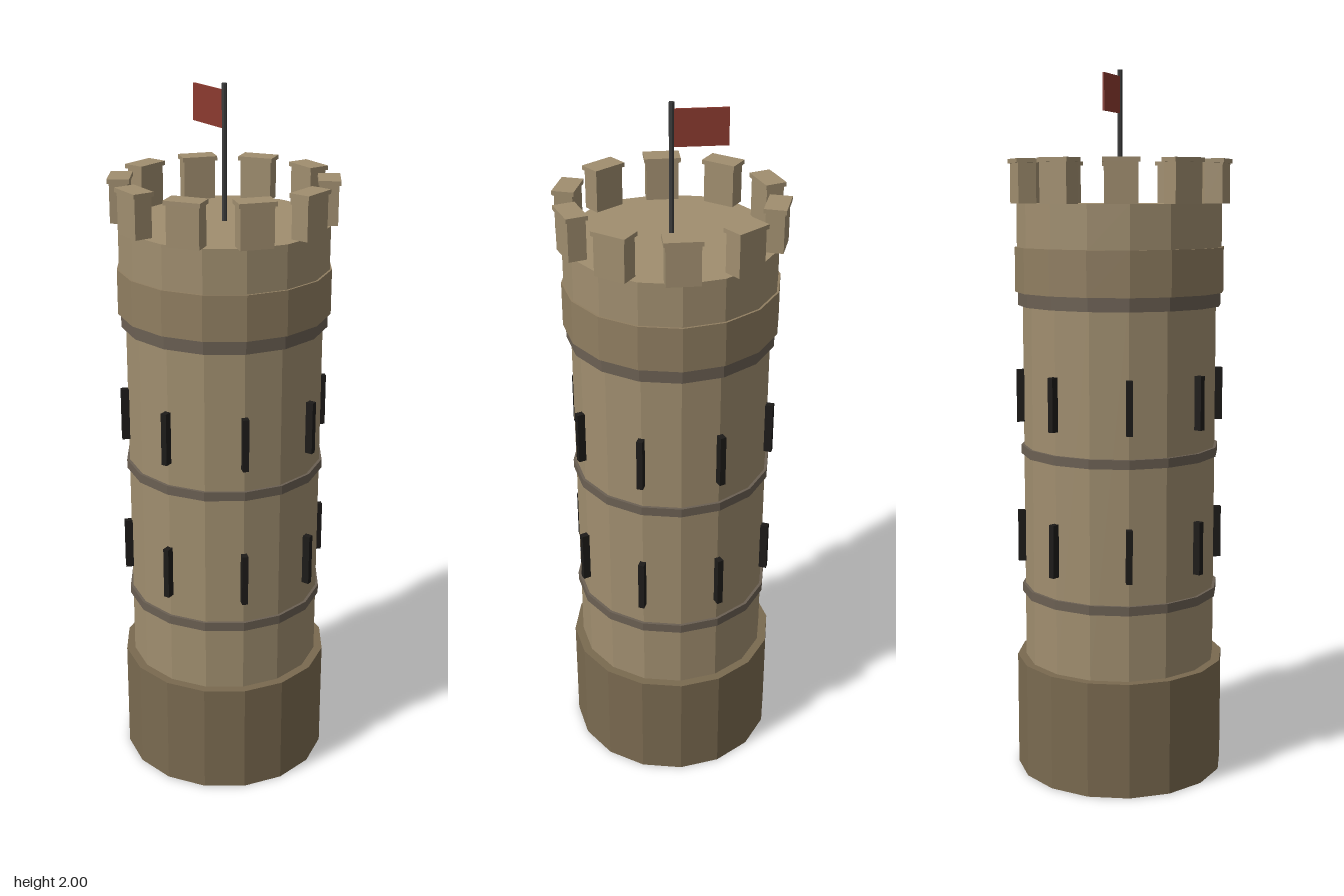
import * as THREE from 'three';

const SIDES = 16;
const material = (color) => new THREE.MeshStandardMaterial({ color, flatShading: true });

export function createModel() {
  const tower = new THREE.Group();
  tower.name = 'tower';

  const stone = material(0xa08e6f);
  const corbelStone = material(0x907e61);
  const baseStone = material(0x7a6a50);
  const bandStone = material(0x6b6053);
  const dark = material(0x1d1b19);
  const iron = material(0x3a3a3a);
  const cloth = material(0x8b3a2f);

  const add = (parent, name, geometry, mat, x = 0, y = 0, z = 0) => {
    const mesh = new THREE.Mesh(geometry, mat);
    mesh.name = name;
    mesh.position.set(x, y, z);
    parent.add(mesh);
    return mesh;
  };

  // Upright faceted drum between two heights
  const drum = (name, radius, y0, y1, mat, sides = SIDES) =>
    add(tower, name, new THREE.CylinderGeometry(radius, radius, y1 - y0, sides), mat, 0, (y0 + y1) / 2);

  // Ring of groups whose local +x points outwards
  const ring = (name, count, startAngle, build) => {
    const group = new THREE.Group();
    group.name = name;
    for (let i = 0; i < count; i++) {
      const spoke = new THREE.Group();
      spoke.rotation.y = startAngle + (i * Math.PI * 2) / count;
      build(spoke);
      group.add(spoke);
    }
    tower.add(group);
  };

  // Main body
  drum('base', 0.3, 0, 0.33, baseStone);
  drum('shaft', 0.275, 0.33, 1.39, stone);
  drum('corbel', 0.296, 1.39, 1.515, corbelStone);
  drum('parapet', 0.29, 1.515, 1.635, stone);

  // String courses
  drum('lowerBand', 0.283, 0.52, 0.546, bandStone);
  drum('middleBand', 0.283, 0.928, 0.954, bandStone);
  drum('upperBand', 0.288, 1.352, 1.39, bandStone);

  // Two rows of arrow slits
  const slit = new THREE.BoxGeometry(0.03, 0.15, 0.017);
  for (const [name, y] of [['lowerArrowSlits', 0.687], ['upperArrowSlits', 1.095]]) {
    ring(name, 8, Math.PI / 8, (spoke) => add(spoke, 'arrowSlit', slit, dark, 0.28, y));
  }

  // Merlons with thin overhanging caps
  const merlon = new THREE.BoxGeometry(0.05, 0.11, 0.09);
  const cap = new THREE.BoxGeometry(0.06, 0.012, 0.1);
  ring('battlements', 10, 0, (spoke) => {
    add(spoke, 'merlon', merlon, stone, 0.28, 1.69);
    add(spoke, 'merlonCap', cap, stone, 0.28, 1.75);
  });

  // Flagpole and flag flying to the back
  drum('flagpole', 0.007, 1.635, 2, iron, 8);
  add(tower, 'flag', new THREE.BoxGeometry(0.005, 0.1, 0.148), cloth, 0, 1.932, -0.074);

  return tower;
}
